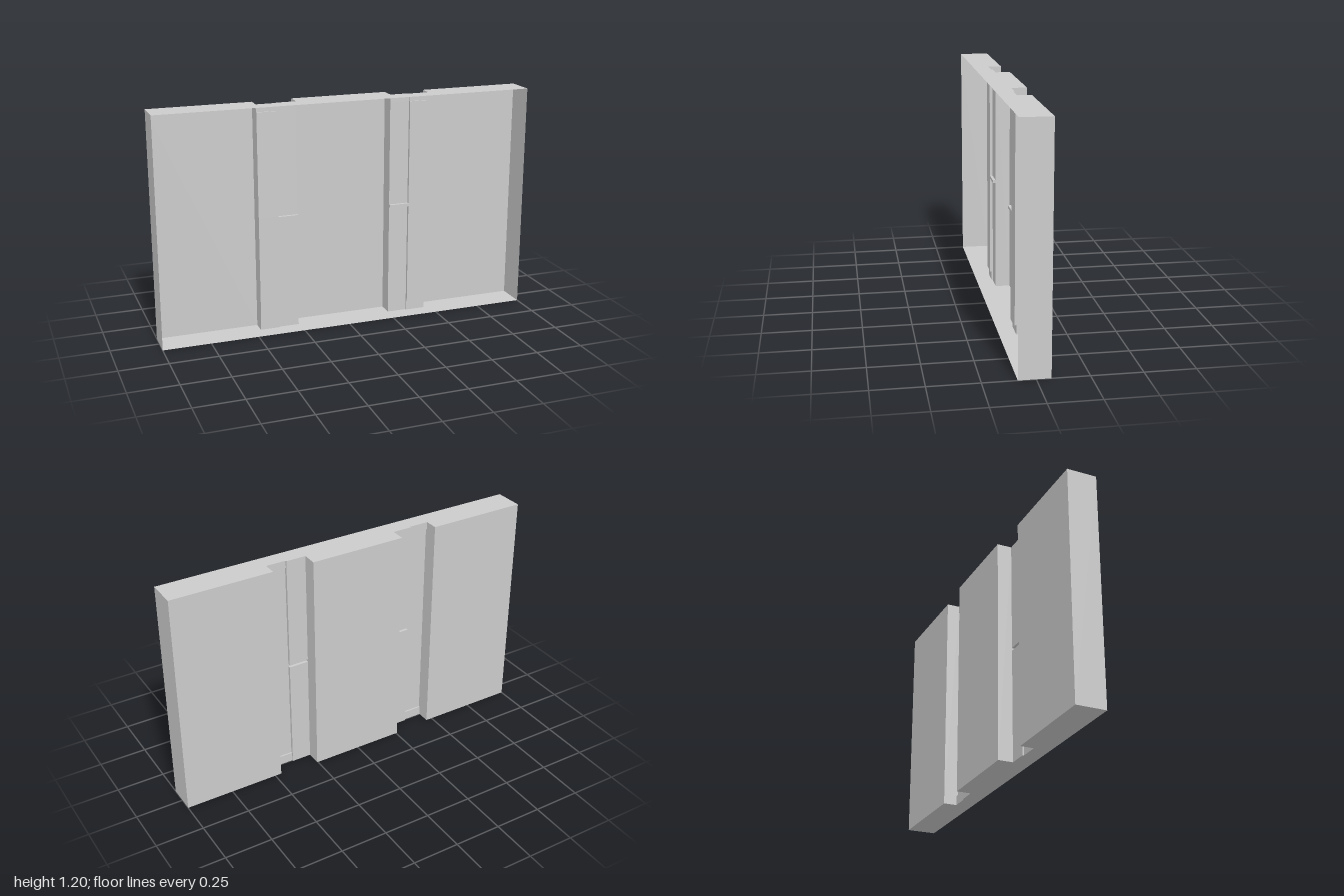
import * as THREE from 'three';

const H = 1.2, FRONT = 0.085, SIDE = -0.07, MID = -0.085;
const X = { outer: 1, grooveOut: 0.465, step: 0.36, grooveIn: 0.255 };
const Z = { ledge: 0, recess: 0.008, panel: -0.007 };

const material = new THREE.MeshStandardMaterial({
  color: 0xcccccc, flatShading: true, side: THREE.DoubleSide,
});

// Thin vertical sheet following [x, z] points between two heights
function sheet(points, y0, y1) {
  const pos = [];
  for (let i = 0; i < points.length - 1; i++) {
    const [ax, az] = points[i], [bx, bz] = points[i + 1];
    pos.push(ax, y0, az, bx, y0, bz, bx, y1, bz);
    pos.push(ax, y0, az, bx, y1, bz, ax, y1, az);
  }
  const g = new THREE.BufferGeometry();
  g.setAttribute('position', new THREE.Float32BufferAttribute(pos, 3));
  g.computeVertexNormals();
  return g;
}

// Horizontal plate with an [x, z] outline, facing up or down
function plate(points, y, up) {
  const g = new THREE.ShapeGeometry(
    new THREE.Shape(points.map(([x, z]) => new THREE.Vector2(x, up ? -z : z))));
  g.rotateX(up ? -Math.PI / 2 : Math.PI / 2);
  g.translate(0, y, 0);
  return g;
}

const mirror = (pts) => pts.map(([x, z]) => [-x, z]).reverse();

function groovePoints(base, panel) {
  return [[X.grooveOut, base], [X.step, base], [X.step, panel], [X.grooveIn, panel]];
}

export function createModel() {
  const group = new THREE.Group();
  const add = (name, geometry) => {
    const mesh = new THREE.Mesh(geometry, material);
    mesh.name = name;
    group.add(mesh);
  };

  const sidePts = [[X.outer, FRONT], [X.outer, SIDE], [X.grooveOut, SIDE], [X.grooveOut, Z.ledge]];
  const midPts = [[X.grooveIn, Z.panel], [X.grooveIn, MID], [-X.grooveIn, MID], [-X.grooveIn, Z.panel]];
  const ledge = groovePoints(Z.ledge, Z.panel);

  // Large back panels and side walls; the front stays open
  add('leftPanel', sheet(sidePts, 0, H));
  add('rightPanel', sheet(mirror(sidePts), 0, H));
  add('centrePanel', sheet(midPts, 0, H));

  // Top and bottom plates share the notched outline
  const half = [...sidePts, ...ledge, [X.grooveIn, MID]];
  const outline = [...half, ...mirror(half)];
  add('topPlate', plate(outline, H, true));
  add('bottomPlate', plate(outline, 0, false));

  // Groove floors: ledges at the ends, two raised panels, a slot between them
  const bands = [
    [0, 0.05, Z.ledge, Z.panel],
    [0.05, 0.595, Z.recess, Z.panel],
    [0.595, 0.61, Z.recess, Z.recess],
    [0.61, 1.16, Z.recess, Z.panel],
    [1.16, H, Z.ledge, Z.panel],
  ];
  for (const [side, flip] of [['left', (p) => p], ['right', mirror]]) {
    bands.forEach(([y0, y1, base, panel], i) => {
      add(side + 'GrooveFloor', sheet(flip(groovePoints(base, panel)), y0, y1));
      if (i === 0) return;
      // Small horizontal lips where neighbouring bands differ in depth
      const [, , oldBase, oldPanel] = bands[i - 1];
      const lip = (xa, xb, za, zb) => {
        if (za === zb) return;
        add(side + 'GrooveLip', plate(flip([[xa, za], [xb, za], [xb, zb], [xa, zb]]), y0, zb > za));
      };
      lip(X.grooveOut, X.step, oldBase, base);
      lip(X.step, X.grooveIn, oldPanel, panel);
    });
    // Short returns beside the recess
    add(side + 'GrooveReturn',
      sheet(flip([[X.grooveOut, Z.ledge], [X.grooveOut, Z.recess]]), 0.05, 1.16));
    add(side + 'SlotReturn',
      sheet(flip([[X.grooveIn, Z.recess], [X.grooveIn, Z.panel]]), 0.595, 0.61));
  }
  return group;
}
